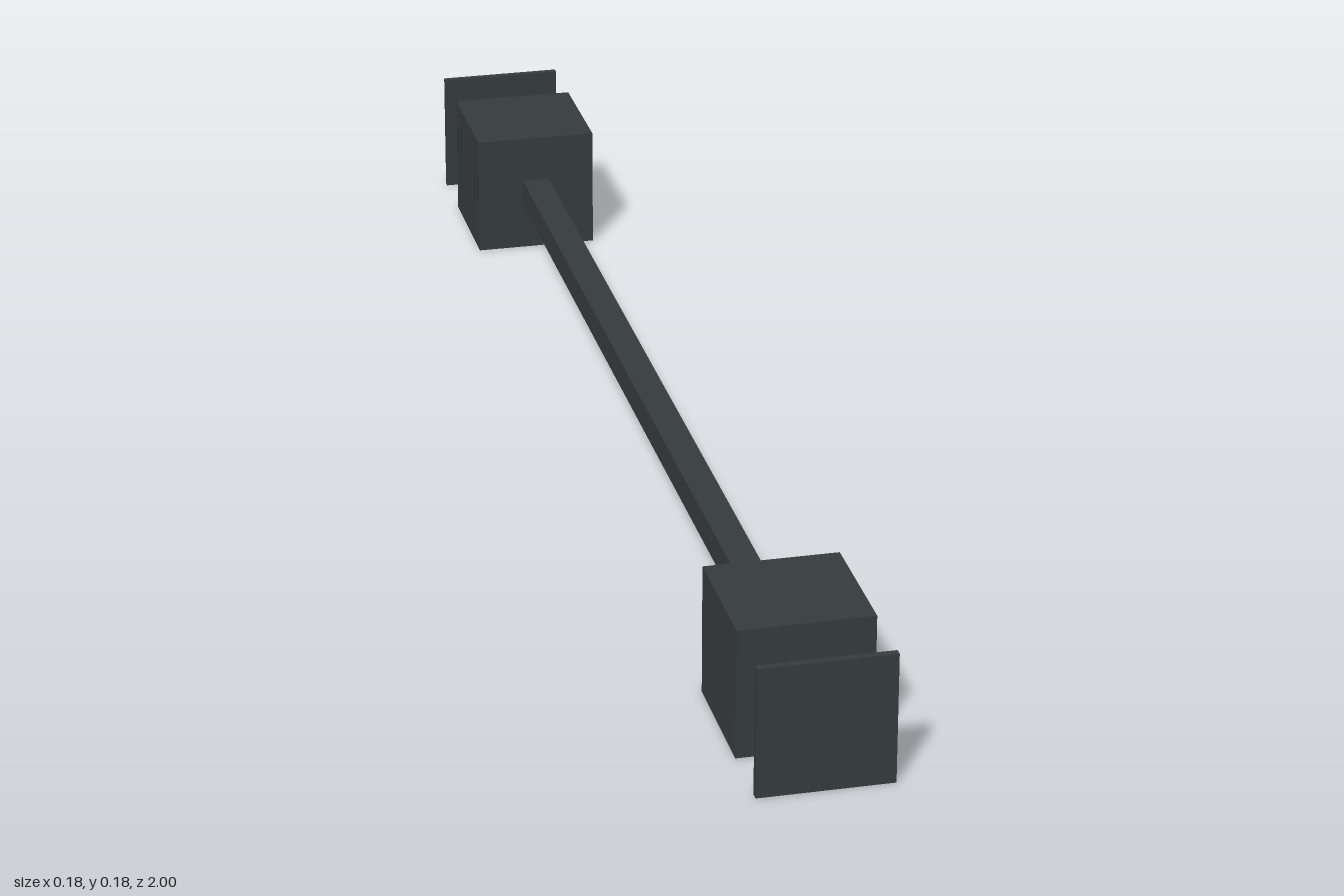
import * as THREE from 'three';

export function createModel() {
  const model = new THREE.Group();
  const charcoal = new THREE.MeshStandardMaterial({ color: 0x353b3b });
  charcoal.name = 'charcoal';

  const size = 0.176; // side of the end blocks and plates
  const addBox = (name, w, h, d, z) => {
    const mesh = new THREE.Mesh(new THREE.BoxGeometry(w, h, d), charcoal);
    mesh.name = name;
    mesh.position.set(0, size / 2, z);
    model.add(mesh);
  };

  // Square bar joining the two blocks
  addBox('bar', 0.04, 0.04, 1.45, 0);

  // Mirrored end blocks, each with a thin plate floating beyond it
  for (const [end, side] of [['front', 1], ['back', -1]]) {
    addBox(end + 'Block', size, size, size, side * 0.811);
    addBox(end + 'Plate', size, size, 0.01, side * 0.995);
  }
  return model;
}
